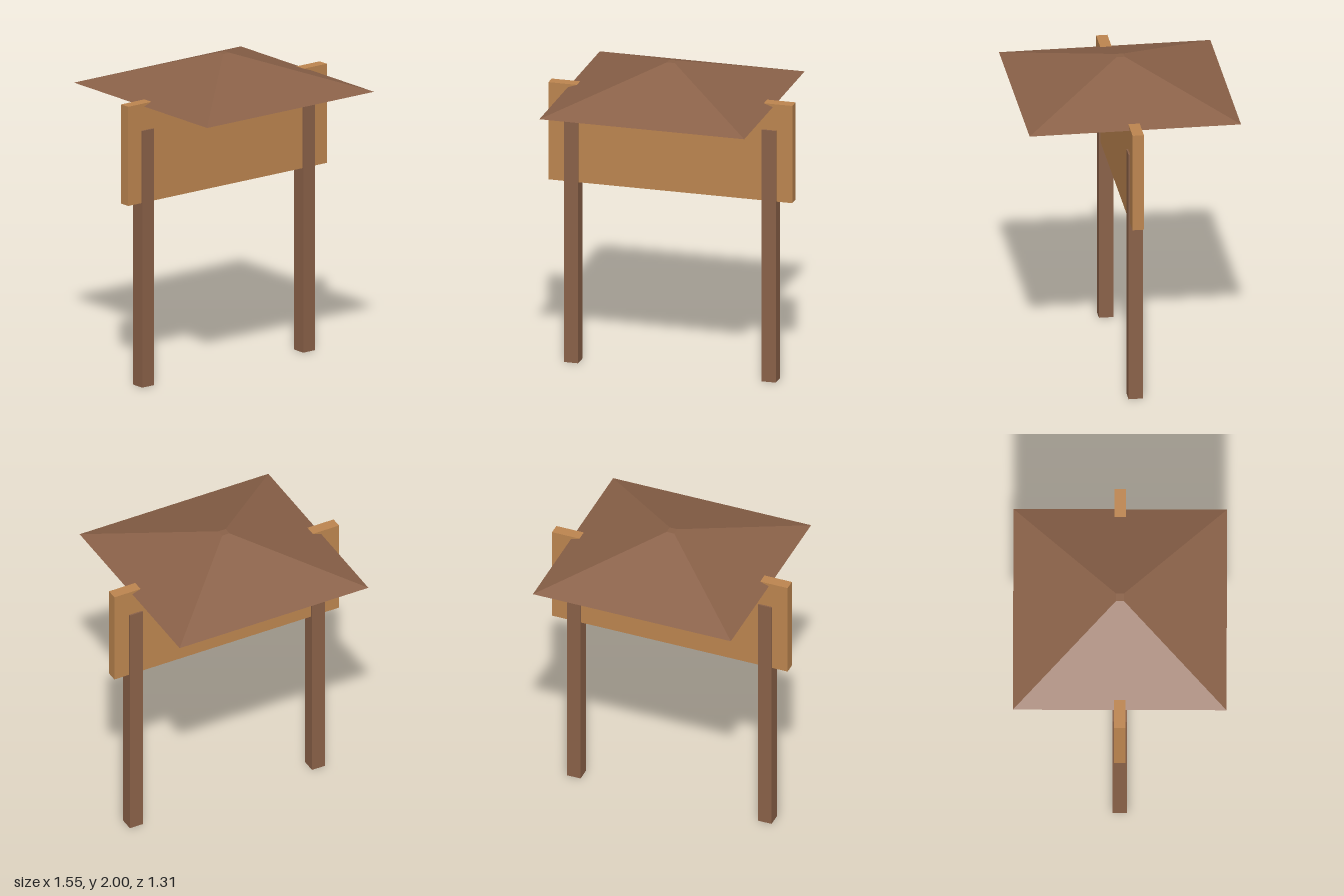
import * as THREE from 'three';

export function createModel() {
  const model = new THREE.Group();
  model.name = 'noticeBoard';

  const darkWood = new THREE.MeshStandardMaterial({ color: 0x8a6148, flatShading: true });
  darkWood.name = 'dark wood';
  const lightWood = new THREE.MeshStandardMaterial({ color: 0xbc854f, flatShading: true });
  lightWood.name = 'light wood';

  const add = (name, geometry, material, x, y, z) => {
    const mesh = new THREE.Mesh(geometry, material);
    mesh.name = name;
    mesh.position.set(x, y, z);
    model.add(mesh);
    return mesh;
  };

  // Two square posts, slightly thicker than the board they carry
  const postHeight = 1.63;
  for (const [name, side] of [['leftPost', 1], ['rightPost', -1]]) {
    add(name, new THREE.BoxGeometry(0.09, postHeight, 0.09), darkWood, side * 0.63, postHeight / 2, 0);
  }

  // Wide board between and beyond the posts
  add('board', new THREE.BoxGeometry(1.554, 0.63, 0.07), lightWood, 0, 1.485, 0);

  // Four-sided roof with a tiny flat top; radii run to the corners
  const roofHeight = 0.22;
  const roof = new THREE.CylinderGeometry(0.025 * Math.SQRT2, 0.653 * Math.SQRT2, roofHeight, 4);
  roof.rotateY(Math.PI / 4);
  add('roof', roof, darkWood, 0, 2 - roofHeight / 2, 0);

  return model;
}
